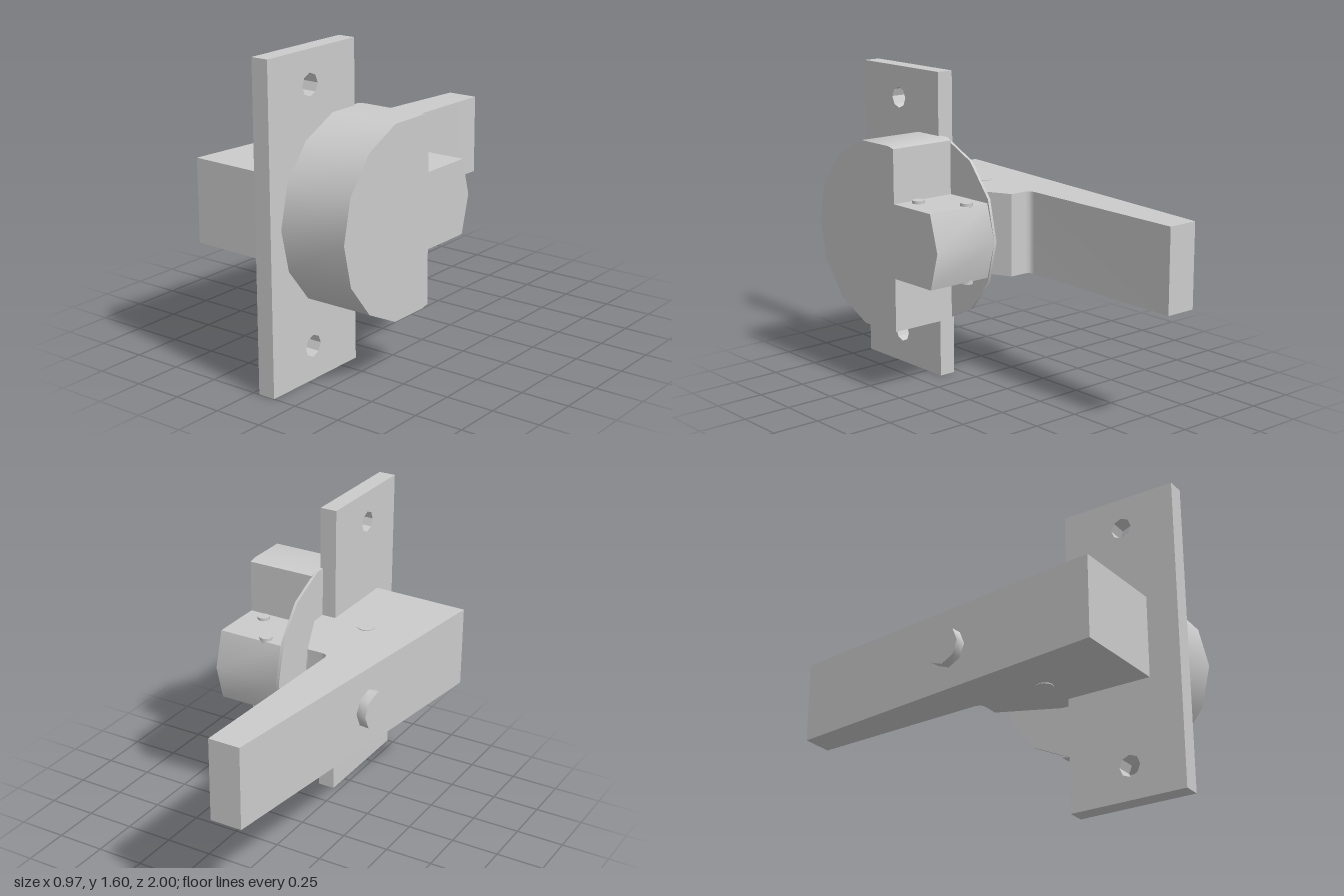
import * as THREE from 'three';
import { toCreasedNormals } from 'three/addons/utils/BufferGeometryUtils.js';

const MID_Y = 0.8;   // height of the lock axis
const DISC_Z = 0.44; // depth of the lock axis
const DISC_R = 0.487;

export function createModel() {
  const model = new THREE.Group();
  const material = new THREE.MeshStandardMaterial({ color: 0xcccccc });

  function add(name, geometry, x = 0, y = 0, z = 0) {
    const mesh = new THREE.Mesh(geometry, material);
    mesh.name = name;
    mesh.position.set(x, y, z);
    model.add(mesh);
    return mesh;
  }

  // Outline in (z, y), extruded between two x positions
  function extrudeX(shape, x0, x1) {
    const g = new THREE.ExtrudeGeometry(shape, { depth: x1 - x0, bevelEnabled: false, curveSegments: 6 });
    g.rotateY(-Math.PI / 2).translate(x1, 0, 0);
    return toCreasedNormals(g, 0.6);
  }

  const rim = (i) => {
    const a = (i / 14) * Math.PI * 2;
    return new THREE.Vector2(DISC_Z + DISC_R * Math.cos(a), MID_Y + DISC_R * Math.sin(a));
  };

  // Mounting plate with two eight-sided screw holes
  const plate = new THREE.Shape([[0.385, 0], [1, 0], [1, 1.6], [0.385, 1.6]].map((p) => new THREE.Vector2(...p)));
  for (const y of [0.17, 1.435]) {
    const hole = [];
    for (let i = 0; i < 8; i++) {
      const a = (i / 8) * Math.PI * 2;
      hole.push(new THREE.Vector2(0.71 + 0.055 * Math.cos(a), y + 0.055 * Math.sin(a)));
    }
    plate.holes.push(new THREE.Path(hole));
  }
  add('mountingPlate', extrudeX(plate, 0.035, 0.125));

  // Thin full disc behind the body
  const full = [];
  for (let i = 0; i < 14; i++) full.push(rim(i));
  add('backingDisc', extrudeX(new THREE.Shape(full), 0.11, 0.125));

  // Round body, notched above and below so a tongue remains at the rear
  const upper = [];
  for (let i = 0; i <= 4; i++) upper.push(rim(i));
  upper.push(new THREE.Vector2(0.29, 1.265), new THREE.Vector2(0.29, 0.99), new THREE.Vector2(0.006, 0.99));
  const lower = upper.slice(1).reverse().map((p) => new THREE.Vector2(p.x, 2 * MID_Y - p.y));
  add('lockBody', extrudeX(new THREE.Shape([...upper, rim(7), ...lower]), 0.12, 0.485));

  // Tapered collar joining the disc to the handle
  const collar = new THREE.CylinderGeometry(0.19, 0.21, 0.08, 14);
  collar.rotateZ(Math.PI / 2);
  add('collar', collar, 0.075, MID_Y, 0.425);

  // Handle: outline seen from above, with a rounded inner corner
  const h = new THREE.Shape();
  h.moveTo(-0.28, 1);
  h.lineTo(-0.485, -0.82);
  h.lineTo(0.04, -0.835);
  h.lineTo(0.04, -0.385);
  h.lineTo(0.12, -0.385);
  h.lineTo(0.12, -0.325);
  h.lineTo(-0.03, 0);
  h.lineTo(-0.11, 0);
  h.quadraticCurveTo(-0.15, 0, -0.149, 0.04);
  h.lineTo(-0.115, 1);
  const handle = new THREE.ExtrudeGeometry(h, { depth: 0.425, bevelEnabled: false, curveSegments: 6 });
  handle.rotateX(-Math.PI / 2);
  add('handle', toCreasedNormals(handle, 0.4), 0, 0.59, 0);

  // Bolt head standing square to the sloping outer face of the handle
  const bolt = new THREE.CylinderGeometry(0.098, 0.098, 0.06, 8);
  bolt.rotateZ(Math.PI / 2);
  bolt.rotateY(-0.112);
  add('boltHead', toCreasedNormals(bolt, 0.9), -0.412, MID_Y, -0.027);

  // Pins through the tongue and the handle, just proud on both sides
  for (const [x, z] of [[0.235, 0.035], [0.375, 0.235]]) {
    add('tonguePin', new THREE.CylinderGeometry(0.032, 0.032, 0.41, 12), x, MID_Y, z);
  }
  add('handlePin', new THREE.CylinderGeometry(0.045, 0.045, 0.434, 12), -0.155, 0.8025, 0.37);

  return model;
}
